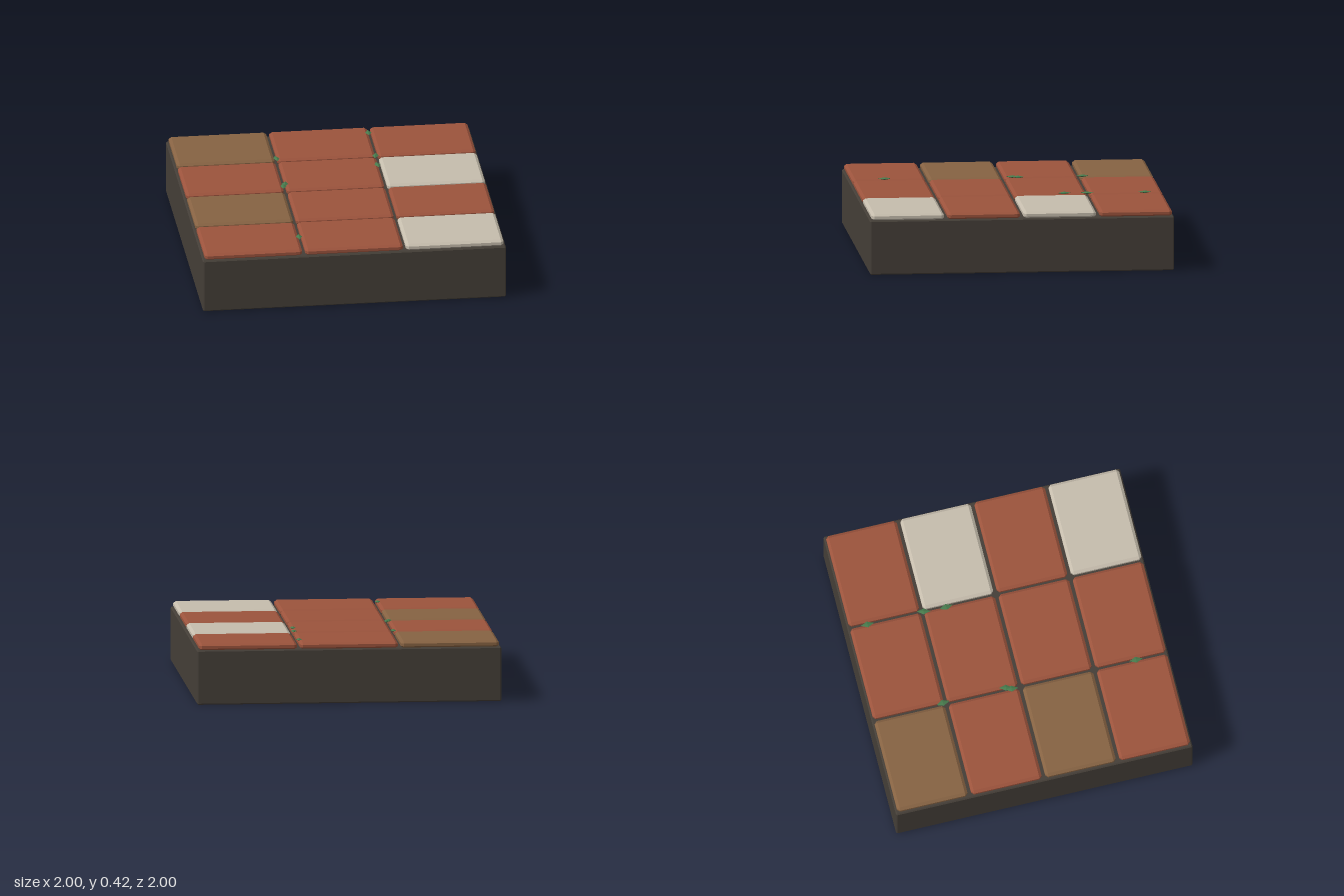
import * as THREE from 'three';
import { ConvexGeometry } from 'three/addons/geometries/ConvexGeometry.js';

const mat = (name, color) => {
  const m = new THREE.MeshStandardMaterial({ color });
  m.name = name;
  return m;
};

// Box with every edge and corner cut off by c (flat facets)
function chamferBox(w, h, d, c, cy = c) {
  const pts = [];
  for (const sx of [-1, 1]) for (const sy of [-1, 1]) for (const sz of [-1, 1]) {
    const x = w / 2, y = h / 2, z = d / 2;
    pts.push(
      new THREE.Vector3(sx * x, sy * (y - cy), sz * (z - c)),
      new THREE.Vector3(sx * (x - c), sy * y, sz * (z - c)),
      new THREE.Vector3(sx * (x - c), sy * (y - cy), sz * z));
  }
  return new ConvexGeometry(pts);
}

export function createModel() {
  const root = new THREE.Group();
  root.name = 'pavedFloor';
  const stone = mat('dark mortar', 0x443e37);
  const clay = mat('terracotta', 0x9b533c);
  const ochre = mat('brown clay', 0x866242);
  const cream = mat('pale stone', 0xc5bcac);
  const green = mat('moss green', 0x477a4c);

  const add = (name, geometry, material, x, y, z, parent = root) => {
    const m = new THREE.Mesh(geometry, material);
    m.name = name;
    m.position.set(x, y, z);
    parent.add(m);
    return m;
  };

  // Mortar slab
  add('base', chamferBox(2, 0.36, 2, 0.008), stone, 0, 0.18, 0);

  // Tiles, back row first
  const tiles = new THREE.Group();
  tiles.name = 'tiles';
  root.add(tiles);
  const layout = [
    [ochre, clay, clay],
    [clay, clay, cream],
    [ochre, clay, clay],
    [clay, clay, cream]];
  const tileGeo = chamferBox(0.644, 0.044, 0.476, 0.018, 0.013);
  layout.forEach((row, r) => row.forEach((material, c) =>
    add('tile', tileGeo, material, (c - 1) * 0.664, 0.378, (r - 1.5) * 0.5, tiles)));

  // Small moss tufts along the joints: x, z, turn
  const moss = new THREE.Group();
  moss.name = 'moss';
  root.add(moss);
  const tuftGeo = new THREE.OctahedronGeometry(1).scale(0.021, 0.009, 0.045);
  const tufts = [
    [0.32, -0.87, 0], [-0.33, -0.52, 0.1], [0.32, -0.49, -0.2], [0.315, -0.34, 0.1],
    [-0.325, -0.095, -0.2], [-0.34, -0.06, -0.1], [-0.34, 0.78, 0]];
  for (const [x, z, turn] of tufts) add('mossTuft', tuftGeo, green, x, 0.407, z, moss).rotation.y = turn;

  return root;
}
